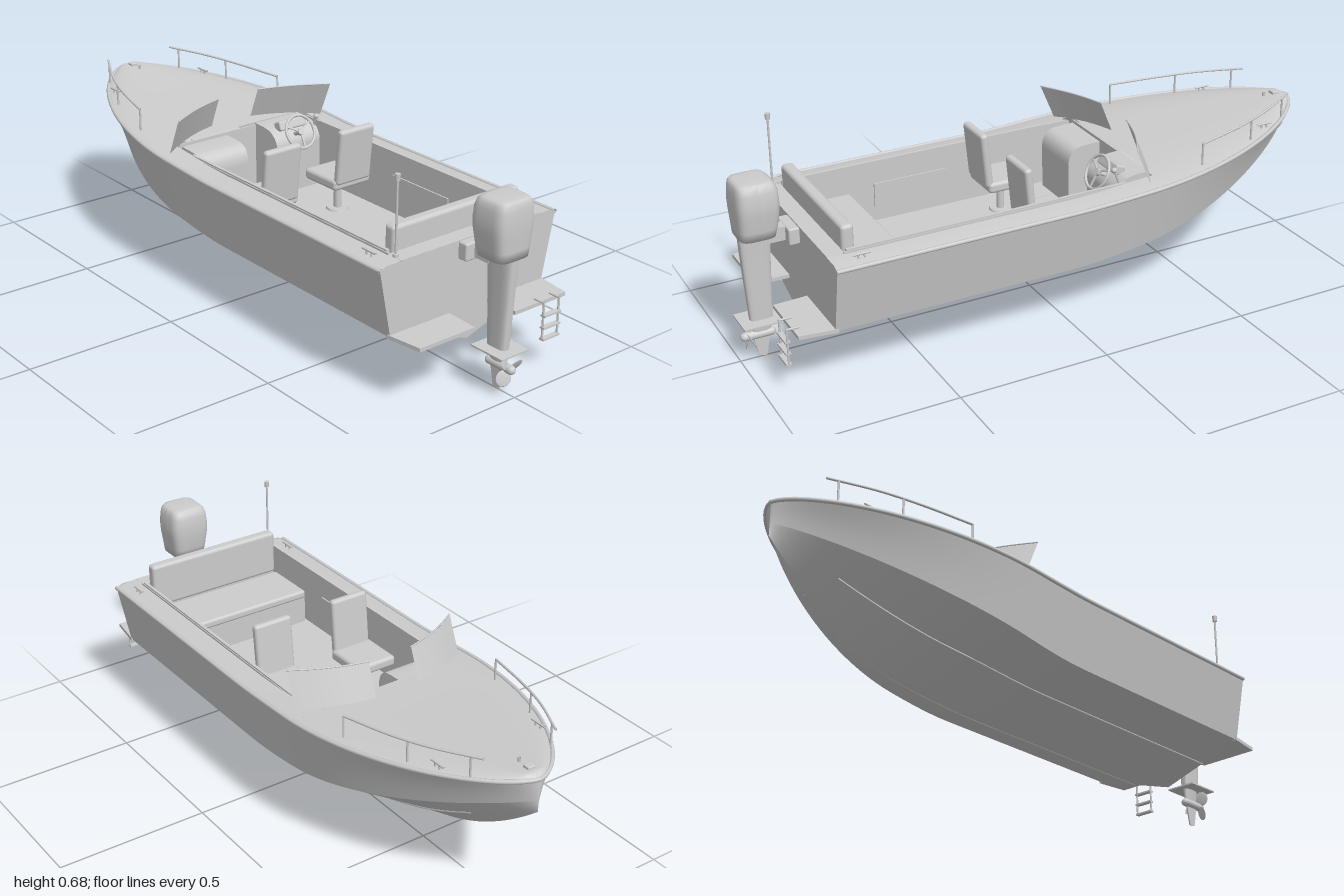
import * as THREE from 'three';
import { RoundedBoxGeometry } from 'three/addons/geometries/RoundedBoxGeometry.js';

const grey = new THREE.MeshStandardMaterial({ color: 0xcccccc, side: THREE.DoubleSide });
grey.name = 'light grey';

const V = (x, y, z) => new THREE.Vector3(x, y, z);
const outline = pts => new THREE.Shape(pts.map(([x, y]) => new THREE.Vector2(x, y)));
const along = (f, a, b, n) => Array.from({ length: n + 1 }, (_, i) => f(a + (b - a) * i / n));

// Hull lines as functions of z (bow at z = -1, transom at z = 0.8)
const bowT = z => Math.min(1, Math.max(0, (-z - 0.25) / 0.75));
const fwd = z => Math.max(0, -z);
const gunX = z => 0.343 * Math.pow(1 - Math.pow(bowT(z), 1.9), 0.66);
const gunY = z => 0.42 + 0.07 * Math.pow(fwd(z), 1.3);
const chineX = z => 0.3 * Math.pow(1 - Math.pow(bowT(z), 1.8), 0.85);
const chineY = z => 0.205 + 0.215 * Math.pow(fwd(z), 1.6);
const keelY = z => 0.11 + 0.27 * Math.pow(Math.max(0, (-z - 0.4) / 0.6), 2);
const crown = z => 0.018 * Math.min(1, gunX(z) / 0.05);
const deckY = (x, z) => gunY(z) + crown(z) * (1 - Math.pow(Math.min(1, Math.abs(x) / (gunX(z) + 1e-4)), 4));
// Stations run from the transom to the bow, closer together at the bow
const station = u => 0.8 - 1.8 * (1 - Math.pow(1 - u, 2));

// Surface from a rule f(u, v) -> Vector3
function surface(f, nu, nv, flip = false) {
  const pos = [], idx = [];
  for (let i = 0; i <= nu; i++)
    for (let j = 0; j <= nv; j++) pos.push(...f(i / nu, j / nv).toArray());
  for (let i = 0; i < nu; i++)
    for (let j = 0; j < nv; j++) {
      const a = i * (nv + 1) + j, b = a + 1, c = a + nv + 1, d = c + 1;
      idx.push(...(flip ? [a, b, c, b, d, c] : [a, c, b, b, c, d]));
    }
  const g = new THREE.BufferGeometry();
  g.setAttribute('position', new THREE.Float32BufferAttribute(pos, 3));
  g.setIndex(idx);
  g.computeVertexNormals();
  return g;
}

// Upright body lofted through rounded sections [y, halfX, halfZ, centreZ], lowest first
function loftUp(sections, power) {
  const sp = c => Math.sign(c) * Math.pow(Math.abs(c), power);
  return surface((u, v) => {
    const [y, hx, hz, cz] = sections[Math.round(u * (sections.length - 1))];
    const a = v * Math.PI * 2;
    return V(hx * sp(Math.cos(a)), y, cz + hz * sp(Math.sin(a)));
  }, sections.length - 1, 40);
}

export function createModel() {
  const boat = new THREE.Group();
  boat.name = 'motorboat';

  const add = (name, geo, x = 0, y = 0, z = 0, parent = boat) => {
    const m = new THREE.Mesh(geo, grey);
    m.name = name;
    m.position.set(x, y, z);
    parent.add(m);
    return m;
  };
  const box = (name, x0, x1, y0, y1, z0, z1, r = 0, parent = boat) => {
    const s = [x1 - x0, y1 - y0, z1 - z0];
    return add(name, r ? new RoundedBoxGeometry(...s, 3, r) : new THREE.BoxGeometry(...s),
      (x0 + x1) / 2, (y0 + y1) / 2, (z0 + z1) / 2, parent);
  };
  const tube = (name, pts, r, seg = 40) =>
    add(name, new THREE.TubeGeometry(new THREE.CatmullRomCurve3(pts), seg, r, 8));
  const rod = (name, a, b, r) => add(name, new THREE.TubeGeometry(new THREE.LineCurve3(a, b), 1, r, 8));

  // Hull, decks and fittings, mirrored
  for (const s of [-1, 1]) {
    const flip = s < 0;
    add('hullBottom', surface((u, v) => {
      const z = station(u);
      return V(s * chineX(z) * v, keelY(z) + (chineY(z) - keelY(z)) * v, z);
    }, 60, 4, flip));
    add('hullSide', surface((u, v) => {
      const z = station(u), k = v - 0.1 * Math.sin(Math.PI * v) * bowT(z);
      return V(s * (chineX(z) + (gunX(z) - chineX(z)) * k), chineY(z) + (gunY(z) - chineY(z)) * v, z);
    }, 60, 8, flip));
    add('sideDeck', surface((u, v) => {
      const z = 0.8 - 1.1 * u, x = 0.265 + (gunX(z) - 0.265) * v;
      return V(s * x, deckY(x, z), z);
    }, 30, 6, !flip));
    tube('rubRail', along(u => V(s * gunX(station(u)), gunY(station(u)), station(u)), 0, 1, 30), 0.007, 80);
    tube('sprayStrake', along(z => V(s * chineX(z) / 2, (chineY(z) + keelY(z)) / 2, z), 0.8, -0.8, 20), 0.004);
    // Cockpit wall, coaming and side pocket
    box('cockpitWall', s * 0.267 - 0.003, s * 0.267 + 0.003, 0.225, 0.437, -0.3, 0.75);
    box('coaming', s * 0.262 - 0.005, s * 0.262 + 0.005, 0.428, 0.442, -0.2, 0.74);
    box('sidePocket', s * 0.262 - 0.003, s * 0.262 + 0.003, 0.28, 0.36, 0.17, 0.43);

    // Windshield panel leaning aft
    add('windshield', surface((u, v) => {
      const x = 0.08 + 0.23 * u, bend = 0.012 * Math.sin(Math.PI * u);
      return V(s * x, 0.452 - 0.02 * u + (0.11 + 0.018 * u) * v, -0.355 + 0.09 * u - bend + (0.045 + 0.01 * u) * v);
    }, 12, 1, !flip));
    tube('windshieldTopTrim', along(u => V(s * (0.08 + 0.23 * u), 0.562 - 0.002 * u,
      -0.31 + 0.1 * u - 0.012 * Math.sin(Math.PI * u)), 0, 1, 8), 0.0025, 16);

    // Bow rail and posts
    const railPts = [V(s * 0.285, 0.525, -0.47), V(s * 0.245, 0.535, -0.64), V(s * 0.2, 0.545, -0.77), V(s * 0.13, 0.556, -0.91)];
    tube('bowRail', railPts, 0.004);
    const rail = new THREE.CatmullRomCurve3(railPts);
    for (const t of [0, 0.5, 0.92]) {
      const p = rail.getPointAt(t);
      rod('railPost', V(p.x, deckY(p.x, p.z) - 0.005, p.z), p, 0.0035);
    }
    // Cleats
    for (const [x, z] of [[0.305, 0.71], [0.185, -0.78]]) {
      const y = deckY(x, z);
      rod('cleatBar', V(s * x, y + 0.013, z - 0.028), V(s * x, y + 0.013, z + 0.028), 0.0035);
      for (const d of [-0.01, 0.01]) rod('cleatFoot', V(s * x, y - 0.003, z + d), V(s * x, y + 0.013, z + d), 0.003);
    }

    // Swim platform
    const plat = outline([[s * 0.075, -0.79], [s * 0.305, -0.79], [s * 0.288, -0.91], [s * 0.08, -0.91]]);
    add('swimPlatform', new THREE.ExtrudeGeometry(plat, { depth: 0.012, bevelEnabled: false }).rotateX(-Math.PI / 2), 0, 0.201, 0);

    // Pedestal seat facing the bow
    const seat = new THREE.Group();
    seat.name = 'seat';
    seat.position.set(s * 0.148, 0, 0.03);
    boat.add(seat);
    add('seatBase', new THREE.CylinderGeometry(0.035, 0.038, 0.008, 28), 0, 0.23, 0, seat);
    add('seatPedestal', new THREE.CylinderGeometry(0.013, 0.013, 0.11, 16), 0, 0.28, 0, seat);
    box('seatCushion', -0.075, 0.075, 0.325, 0.362, -0.08, 0.075, 0.012, seat);
    box('seatBack', -0.069, 0.069, 0.345, 0.535, 0.065, 0.092, 0.011, seat).rotation.x = 0.1;
  }

  // Foredeck, stern deck, transom
  add('foredeck', surface((u, v) => {
    const z = -0.3 - 0.7 * (1 - Math.pow(1 - u, 2)), x = (2 * v - 1) * gunX(z);
    return V(x, deckY(x, z), z);
  }, 40, 24, true));
  box('sternDeck', -0.266, 0.266, 0.42, 0.432, 0.745, 0.8);
  const transom = outline([[0, 0.11], [0.3, 0.205], [0.343, 0.42], [0.32, 0.43], [-0.32, 0.43], [-0.343, 0.42], [-0.3, 0.205]]);
  add('transom', new THREE.ShapeGeometry(transom), 0, 0, 0.8);

  // Cockpit shell
  box('cockpitFloor', -0.266, 0.266, 0.223, 0.227, -0.3, 0.75);
  box('forwardBulkhead', -0.266, 0.266, 0.225, 0.445, -0.302, -0.296);
  box('aftBulkhead', -0.266, 0.266, 0.225, 0.425, 0.745, 0.75);

  // Rear bench
  box('benchBase', -0.253, 0.253, 0.227, 0.325, 0.525, 0.745);
  box('benchCushion', -0.253, 0.253, 0.322, 0.352, 0.518, 0.71, 0.01);
  box('benchBack', -0.247, 0.247, 0.352, 0.507, 0.705, 0.745, 0.012);

  // Consoles: side profile in z and y, extruded across
  const consoleBody = (top, slope) => {
    const p = new THREE.Shape();
    p.moveTo(-0.3, 0.227);
    p.lineTo(-0.18, 0.227);
    p.lineTo(-0.178, top - 0.06);
    p.quadraticCurveTo(-0.18, top - slope, -0.215, top - slope * 0.3);
    p.quadraticCurveTo(-0.24, top, -0.3, top);
    return new THREE.ExtrudeGeometry(p, { depth: 0.18, bevelEnabled: false }).translate(0, 0, -0.09).rotateY(-Math.PI / 2);
  };
  add('passengerConsole', consoleBody(0.435, 0.015), -0.15);
  add('helmConsole', consoleBody(0.45, 0.03), 0.15);
  box('gaugePanel', 0.09, 0.2, 0.435, 0.468, -0.235, -0.2, 0.006).rotation.x = -0.4;

  // Steering wheel
  const wheel = new THREE.Group();
  wheel.name = 'steeringWheel';
  wheel.position.set(0.147, 0.438, -0.165);
  wheel.rotation.x = -0.5;
  boat.add(wheel);
  add('wheelRim', new THREE.TorusGeometry(0.056, 0.005, 10, 40), 0, 0, 0, wheel);
  add('wheelHub', new THREE.CylinderGeometry(0.012, 0.012, 0.012, 20).rotateX(Math.PI / 2), 0, 0, 0, wheel);
  add('wheelColumn', new THREE.CylinderGeometry(0.007, 0.007, 0.04, 12).rotateX(Math.PI / 2), 0, 0, -0.02, wheel);
  for (let i = 0; i < 3; i++)
    add('wheelSpoke', new THREE.BoxGeometry(0.006, 0.052, 0.004).translate(0, 0.028, 0), 0, 0, 0, wheel).rotation.z = Math.PI + i * Math.PI * 2 / 3;
  rod('throttleLever', V(0.225, 0.42, -0.2), V(0.225, 0.47, -0.18), 0.004);
  add('throttleKnob', new THREE.SphereGeometry(0.009, 14, 10), 0.225, 0.472, -0.179);

  // Bow light and stern light pole
  box('bowLight', -0.014, 0.014, 0.495, 0.512, -0.965, -0.94, 0.004);
  rod('bowEye', V(0, 0.49, -0.91), V(0, 0.512, -0.91), 0.005);
  rod('lightPole', V(-0.26, 0.425, 0.77), V(-0.26, 0.66, 0.77), 0.0035);
  add('lightPoleFoot', new THREE.CylinderGeometry(0.009, 0.009, 0.01, 16), -0.26, 0.435, 0.77);
  add('poleLight', new THREE.CylinderGeometry(0.0085, 0.0075, 0.02, 16), -0.26, 0.667, 0.77);

  // Outboard motor
  add('motorCowling', loftUp([[0.421, 0.001, 0.001, 0.925], [0.421, 0.06, 0.056, 0.925], [0.45, 0.064, 0.061, 0.922],
    [0.5, 0.071, 0.066, 0.92], [0.535, 0.073, 0.067, 0.92], [0.57, 0.069, 0.065, 0.92], [0.588, 0.064, 0.06, 0.922],
    [0.597, 0.056, 0.053, 0.924], [0.6, 0.044, 0.042, 0.925], [0.6, 0.001, 0.001, 0.925]], 0.45));
  add('motorLeg', loftUp([[0.135, 0.017, 0.036, 0.925], [0.3, 0.02, 0.044, 0.927], [0.425, 0.024, 0.05, 0.927]], 0.6));
  add('gearHousing', loftUp([[0.08, 0.008, 0.028, 0.925], [0.135, 0.013, 0.034, 0.925]], 0.8));
  box('mountBracket', -0.052, 0.052, 0.377, 0.432, 0.8, 0.835, 0.006);
  box('mountArm', -0.02, 0.02, 0.385, 0.43, 0.83, 0.89);
  box('antiVentilationPlate', -0.054, 0.054, 0.13, 0.135, 0.87, 0.995);
  add('propellerShaftHousing', new THREE.CapsuleGeometry(0.014, 0.085, 8, 20).rotateX(Math.PI / 2), 0, 0.08, 0.938);
  const skeg = outline([[0.9, 0.075], [0.955, 0.075], [0.94, 0.005], [0.915, 0]]);
  add('skeg', new THREE.ExtrudeGeometry(skeg, { depth: 0.005, bevelEnabled: false }).translate(0, 0, -0.0025).rotateY(-Math.PI / 2));
  for (let i = 0; i < 3; i++) {
    const hub = new THREE.Group();
    hub.name = 'propellerBlade';
    hub.position.set(0, 0.08, 0.968);
    hub.rotation.z = i * Math.PI * 2 / 3;
    boat.add(hub);
    add('blade', new THREE.SphereGeometry(1, 20, 12).scale(0.025, 0.023, 0.0025), 0.031, 0, 0, hub).rotation.x = 0.5;
  }

  // Boarding ladder
  for (const x of [0.179, 0.242]) {
    rod('ladderRail', V(x, 0.098, 0.928), V(x, 0.219, 0.928), 0.0035);
    rod('ladderHinge', V(x, 0.216, 0.89), V(x, 0.216, 0.93), 0.0035);
  }
  for (const y of [0.099, 0.136, 0.175]) box('ladderRung', 0.176, 0.245, y - 0.003, y + 0.003, 0.92, 0.937);

  return boat;
}
